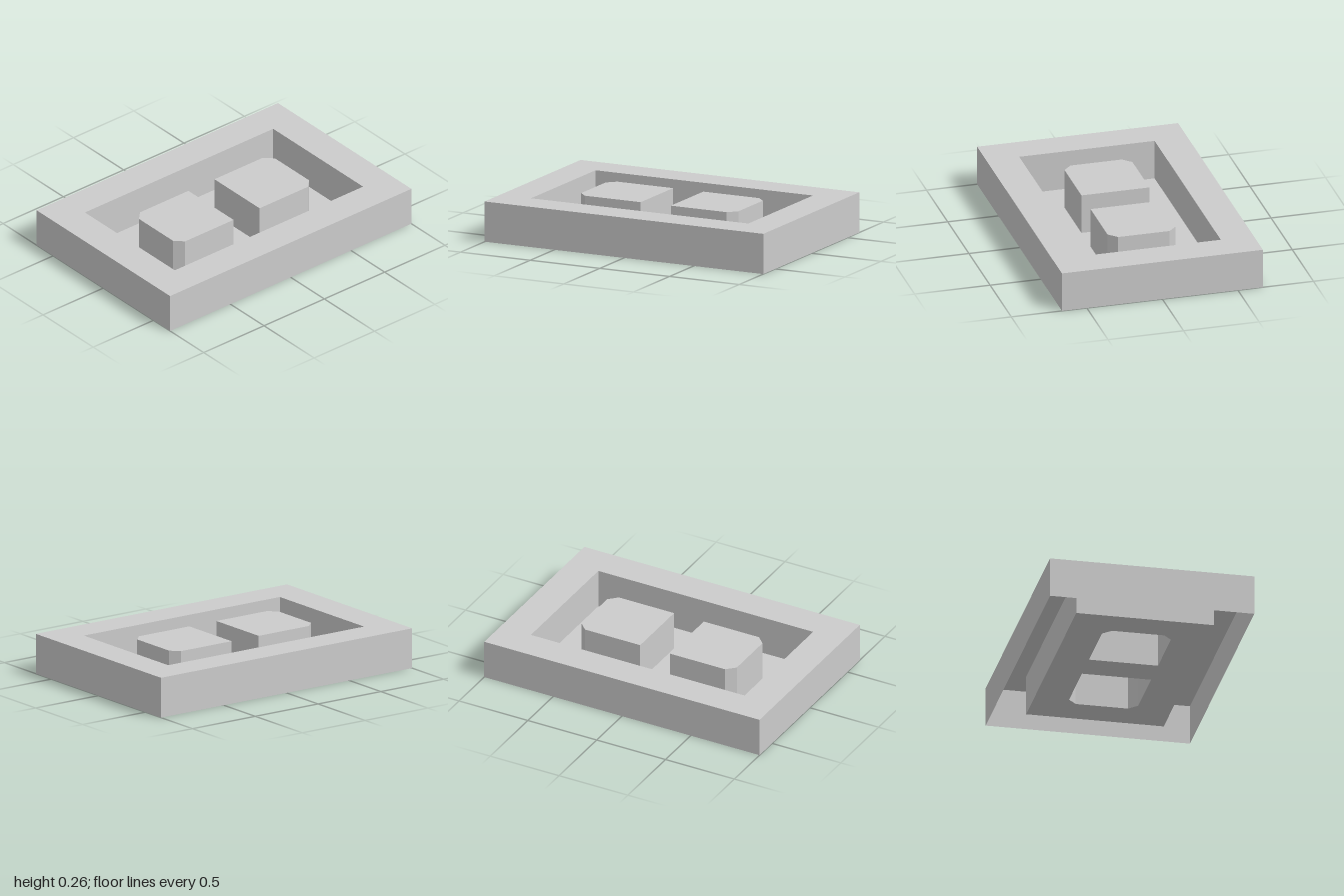
import * as THREE from 'three';

const HEIGHT = 0.263;
const material = new THREE.MeshStandardMaterial({
  color: 0xcccccc, flatShading: true, side: THREE.DoubleSide,
});

const rectangle = (w, d) => [[-w, -d], [w, -d], [w, d], [-w, d]];

// Raised block outline: the two corners facing the short end are chamfered.
function blockOutline(side) {
  const w = 0.225, near = 0.108, far = 0.564, c = 0.055;
  return [[-w, near], [w, near], [w, far - c], [w - c, far], [-w + c, far], [-w, far - c]]
    .map(([x, z]) => [x, z * side]);
}

const toPoints = (outline) => outline.map(([x, z]) => new THREE.Vector2(x, -z));

function addMesh(group, name, geometry) {
  const mesh = new THREE.Mesh(geometry, material);
  mesh.name = name;
  group.add(mesh);
}

// Flat horizontal sheet with optional holes.
function addSheet(group, name, outline, holes, y) {
  const shape = new THREE.Shape(toPoints(outline));
  shape.holes = holes.map((hole) => new THREE.Path(toPoints(hole)));
  addMesh(group, name, new THREE.ShapeGeometry(shape).rotateX(-Math.PI / 2).translate(0, y, 0));
}

// Thin vertical wall following a closed outline.
function addWall(group, name, outline) {
  const positions = [];
  outline.forEach(([x0, z0], i) => {
    const [x1, z1] = outline[(i + 1) % outline.length];
    positions.push(x0, 0, z0, x0, HEIGHT, z0, x1, HEIGHT, z1);
    positions.push(x0, 0, z0, x1, HEIGHT, z1, x1, 0, z1);
  });
  const geometry = new THREE.BufferGeometry();
  geometry.setAttribute('position', new THREE.Float32BufferAttribute(positions, 3));
  geometry.computeVertexNormals();
  addMesh(group, name, geometry);
}

export function createModel() {
  const model = new THREE.Group();
  model.name = 'recessedTray';

  const outer = rectangle(0.665, 1);
  const inner = rectangle(0.448, 0.78);
  const blocks = [blockOutline(1), blockOutline(-1)];

  // Hollow frame, open underneath
  addWall(model, 'outerWall', outer);
  addWall(model, 'recessWall', inner);
  addSheet(model, 'rim', outer, [inner], HEIGHT);

  // Recess floor, open below each block
  addSheet(model, 'recessFloor', inner, blocks, 0);

  // Two hollow blocks, flush with the rim
  blocks.forEach((outline, i) => {
    const block = new THREE.Group();
    block.name = i === 0 ? 'frontBlock' : 'backBlock';
    addWall(block, 'blockWall', outline);
    addSheet(block, 'blockTop', outline, [], HEIGHT);
    model.add(block);
  });

  return model;
}
